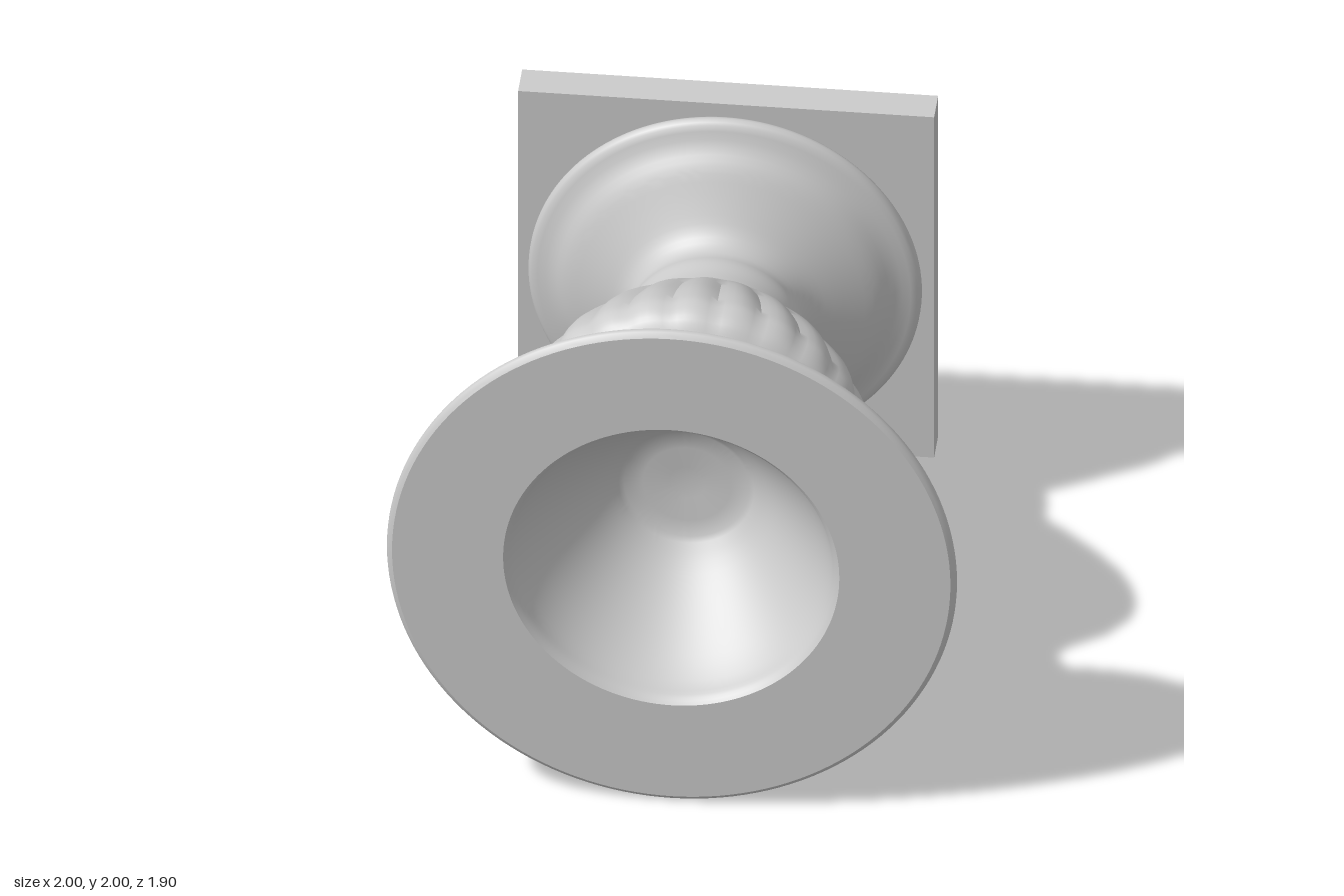
import * as THREE from 'three';
import { toCreasedNormals } from 'three/addons/utils/BufferGeometryUtils.js';

const RIBS = 24;

// Smooth profile run through [radius, z] points
function smooth(pairs, steps) {
  return new THREE.SplineCurve(pairs.map(([r, z]) => new THREE.Vector2(r, z))).getPoints(steps);
}

// Turned piece: the profile is spun, then laid along z at y = 1
function turned(name, runs, material, shape) {
  const points = runs.flatMap(([pairs, steps], i) => smooth(pairs, steps).slice(i ? 1 : 0));
  points.forEach((p) => { p.x = Math.max(0, p.x); });
  const geometry = new THREE.LatheGeometry(points, RIBS * 6);
  if (shape) shape(geometry.attributes.position);
  geometry.rotateX(Math.PI / 2);
  geometry.translate(0, 1, 0);
  const mesh = new THREE.Mesh(toCreasedNormals(geometry, 0.6), material);
  mesh.name = name;
  return mesh;
}

// Shallow flutes on the bulb that fade out towards both necks
function flute(pos) {
  for (let i = 0; i < pos.count; i++) {
    const x = pos.getX(i), z = pos.getZ(i), t = (pos.getY(i) + 0.3) / 0.68;
    if (t <= 0 || t >= 1) continue;
    const depth = 0.018 * Math.sin(Math.PI * t);
    const k = 1 - depth * (1 - Math.abs(Math.cos(Math.atan2(x, z) * RIBS / 2))) * 2;
    pos.setX(i, x * k);
    pos.setZ(i, z * k);
  }
}

export function createModel() {
  const model = new THREE.Group();
  model.name = 'turnedKnob';
  const material = new THREE.MeshStandardMaterial({ color: 0xcccccc });

  // Square mounting plate at the back
  const plate = new THREE.Mesh(new THREE.BoxGeometry(1.46, 1.46, 0.13), material);
  plate.name = 'backPlate';
  plate.position.set(0, 1, -0.885);
  model.add(plate);

  // Body: foot, neck, fluted bulb, flared bell, flat rim and hollow
  model.add(turned('turnedBody', [
    // foot and its rounded edge
    [[[0, -0.82], [0.66, -0.82]], 2],
    [[[0.66, -0.82], [0.685, -0.805], [0.69, -0.785], [0.675, -0.765]], 6],
    [[[0.675, -0.765], [0.61, -0.74], [0.56, -0.7], [0.53, -0.68]], 8],
    // neck
    [[[0.53, -0.68], [0.42, -0.62], [0.345, -0.57], [0.312, -0.51], [0.322, -0.45], [0.325, -0.38], [0.335, -0.32]], 20],
    // bulb and front neck
    [[[0.335, -0.32], [0.4, -0.24], [0.51, -0.08], [0.59, 0.07], [0.625, 0.18], [0.625, 0.24], [0.6, 0.295],
      [0.54, 0.34], [0.47, 0.4], [0.43, 0.48]], 36],
    // bell
    [[[0.43, 0.48], [0.455, 0.56], [0.54, 0.67], [0.65, 0.75], [0.75, 0.79], [0.855, 0.815]], 18],
    // rim moulding
    [[[0.855, 0.815], [0.885, 0.85], [0.92, 0.885], [0.975, 0.9]], 8],
    [[[0.975, 0.9], [0.998, 0.915], [0.998, 0.935], [0.98, 0.95]], 6],
    // flat front face
    [[[0.98, 0.95], [0.59, 0.95]], 4],
    // hollow
    [[[0.59, 0.95], [0.57, 0.925], [0.55, 0.87], [0.5, 0.78], [0.4, 0.64], [0.3, 0.52], [0.22, 0.45]], 20],
    [[[0.22, 0.45], [0, 0.43]], 3],
  ], material, flute));

  return model;
}
